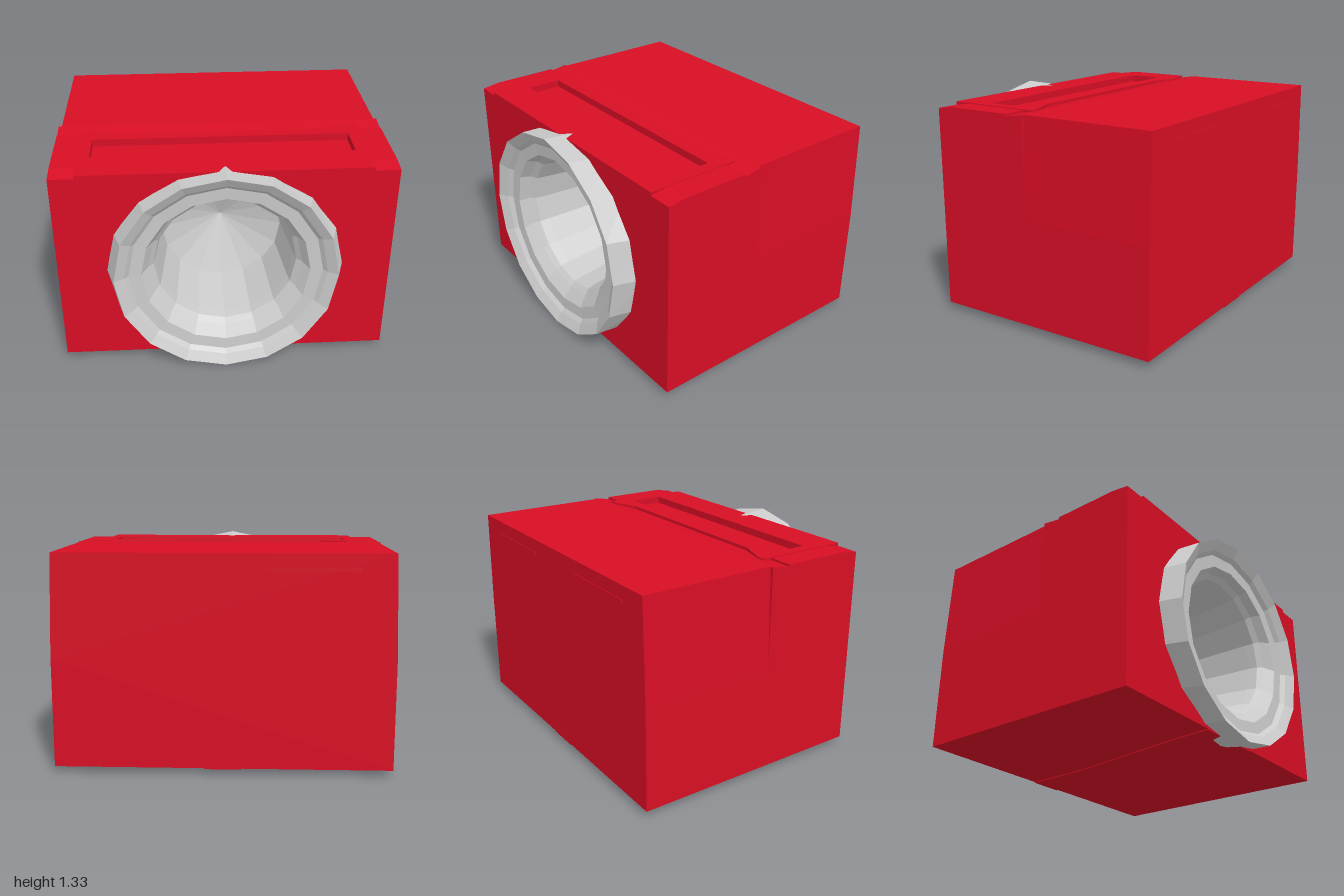
import * as THREE from 'three';

const red = new THREE.MeshStandardMaterial({ color: 0xd80e25, side: THREE.DoubleSide, flatShading: true });
const grey = new THREE.MeshStandardMaterial({ color: 0xcccccc, side: THREE.DoubleSide, flatShading: true });

const BOTTOM = 0.045, TOP = 1.315, FRONT = 0.68, BACK = -0.815, SEAM = 0.03;
const RING_Y = 0.67;

function shapeOf(points) {
  return new THREE.Shape(points.map(([x, y]) => new THREE.Vector2(x, y)));
}

function extrude(shape, depth) {
  return new THREE.ExtrudeGeometry(shape, { depth, bevelEnabled: false });
}

// Outline in x and z, lying flat between two heights
function flatPlate(shape, bottom, top) {
  return extrude(shape, top - bottom).rotateX(Math.PI / 2).translate(0, top, 0);
}

// Profile given as (z, y), extruded from x0 to x1
function sideProfile(points, x0, x1) {
  return extrude(shapeOf(points.map(([z, y]) => [-z, y])), x1 - x0)
    .rotateY(Math.PI / 2).translate(x0, 0, 0);
}

export function createModel() {
  const group = new THREE.Group();
  const add = (name, geometry, material = red) => {
    const mesh = new THREE.Mesh(geometry, material);
    mesh.name = name;
    group.add(mesh);
    return mesh;
  };

  // Rear half of the case, sides leaning in slightly above the middle
  add('rearCase', extrude(shapeOf([
    [-1, BOTTOM], [1, BOTTOM], [1, 0.7], [0.98, TOP], [-0.98, TOP], [-1, 0.7],
  ]), SEAM - BACK).translate(0, 0, BACK));

  // Front half with a round opening for the drum
  const front = shapeOf([[-1, BOTTOM], [1, BOTTOM], [1, 1.27], [-1, 1.27]]);
  const opening = [];
  for (let i = 0; i < 16; i++) {
    const a = (i / 16) * Math.PI * 2;
    opening.push(new THREE.Vector2(0.52 * Math.sin(a), RING_Y + 0.52 * Math.cos(a)));
  }
  front.holes.push(new THREE.Path(opening));
  add('frontCase', extrude(front, FRONT - SEAM).translate(0, 0, SEAM));

  // Sloping groove between the two halves
  add('topGroove', sideProfile([[SEAM, 1.26], [0.16, 1.26], [0.16, 1.295], [SEAM, TOP]], -1, 1));

  // Shoulders either side of the top panel, dropping at the front corners
  const shoulder = [[0.15, 1.26], [FRONT, 1.26], [FRONT, 1.295], [0.57, 1.31], [0.15, 1.31]];
  add('leftShoulder', sideProfile(shoulder, 0.85, 1));
  add('rightShoulder', sideProfile(shoulder, -1, -0.85));

  // Top panel with a long shallow slot
  const panel = shapeOf([
    [-0.85, FRONT], [-0.85, 0.09], [-0.79, 0.09], [-0.62, 0.155],
    [0.62, 0.155], [0.79, 0.09], [0.85, 0.09], [0.85, FRONT],
  ]);
  panel.holes.push(new THREE.Path(
    [[-0.78, 0.23], [0.78, 0.23], [0.78, 0.455], [-0.78, 0.455]].map(p => new THREE.Vector2(...p))));
  add('topPanel', flatPlate(panel, 1.26, TOP));

  // Narrowing rib along the underside
  add('undersideRib', flatPlate(shapeOf([
    [-0.24, FRONT], [-0.22, 0.4], [-0.12, -0.4], [-0.11, BACK],
    [0.11, BACK], [0.12, -0.4], [0.22, 0.4], [0.24, FRONT],
  ]), BOTTOM - 0.006, BOTTOM + 0.01));

  // Thin slats near the top of the back
  for (const side of [-1, 1]) {
    const slat = add(side > 0 ? 'leftBackSlat' : 'rightBackSlat', new THREE.BoxGeometry(0.54, 0.02, 0.008));
    slat.position.set(side * 0.51, 1.225, BACK);
  }

  // Stepped ring and deep drum, turned as one profile (radius, z)
  const profile = [
    [0.645, 0.61], [0.665, 0.81], [0.605, 0.775], [0.58, 0.75], [0.505, 0.745],
    [0.46, 0.69], [0.43, 0.66], [0.42, 0.6], [0.38, 0.25], [0, 0.1],
  ];
  const ring = new THREE.LatheGeometry(profile.map(p => new THREE.Vector2(...p)), 16).rotateX(Math.PI / 2);
  const pos = ring.attributes.position;
  for (let i = 0; i < pos.count; i++) {
    const r = Math.hypot(pos.getX(i), pos.getY(i));
    // The back of the outer ring is wider sideways; the drum sits a little higher
    if (r > 0.6 && pos.getZ(i) < 0.7) pos.setX(i, pos.getX(i) * 1.13);
    if (r < 0.47) pos.setY(i, pos.getY(i) + 0.025);
  }
  ring.translate(0, RING_Y, 0);
  add('ringAndDrum', ring, grey);

  return group;
}
